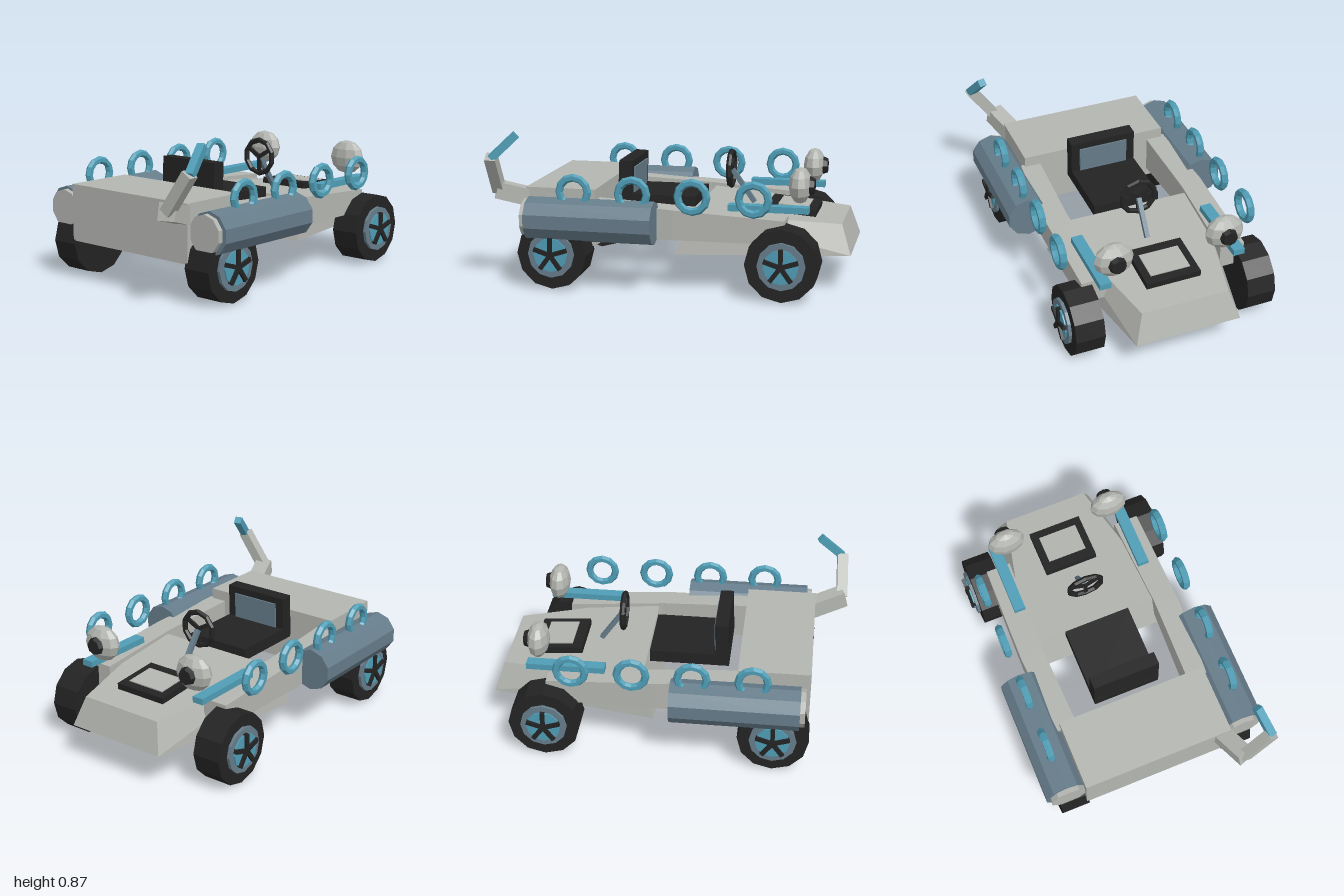
import * as THREE from 'three';
import { ConvexGeometry } from 'three/addons/geometries/ConvexGeometry.js';

const paint = (name, color) => {
  const m = new THREE.MeshStandardMaterial({ color, flatShading: true });
  m.name = name;
  return m;
};

export function createModel() {
  const grey = paint('body grey', 0xb3b5b0);
  const blue = paint('bright blue', 0x4f9db5);
  const slate = paint('slate blue', 0x667c8a);
  const black = paint('soft black', 0x232323);
  const car = new THREE.Group();
  car.name = 'buggy';

  const add = (name, geo, mat, x = 0, y = 0, z = 0, parent = car) => {
    const m = new THREE.Mesh(geo, mat);
    m.name = name;
    m.position.set(x, y, z);
    parent.add(m);
    return m;
  };
  const box = (w, h, d) => new THREE.BoxGeometry(w, h, d);
  const hull = (name, pts, mat) =>
    add(name, new ConvexGeometry(pts.map(p => new THREE.Vector3(...p))), mat);
  // square bar between two points
  const bar = (name, a, b, w, mat) => {
    const A = new THREE.Vector3(...a), B = new THREE.Vector3(...b);
    const m = add(name, box(w, w, A.distanceTo(B)), mat);
    m.position.copy(A).add(B).multiplyScalar(0.5);
    m.lookAt(B);
    return m;
  };

  // rear block and tapered nose
  add('rearBody', box(0.87, 0.32, 0.4), grey, 0, 0.38, 0.6);
  const nose = [];
  for (const s of [-1, 1]) {
    nose.push([s * 0.3, 0.205, -1], [s * 0.25, 0.37, -0.945],
      [s * 0.47, 0.205, -0.06], [s * 0.435, 0.435, -0.13]);
  }
  hull('nose', nose, grey);

  // hood hatch, following the hood slope
  const hatch = new THREE.Group();
  hatch.name = 'hoodHatch';
  hatch.position.set(0, 0.405, -0.65);
  hatch.rotation.x = -0.08;
  car.add(hatch);
  add('hatchFrame', box(0.315, 0.05, 0.28), black, 0, 0, 0, hatch);
  add('hatchPanel', box(0.23, 0.008, 0.17), grey, 0, 0.027, -0.005, hatch);

  // seat
  add('seatBase', box(0.39, 0.07, 0.45), black, 0, 0.44, 0.11);
  const back = new THREE.Group();
  back.name = 'seatBack';
  back.position.set(0, 0.55, 0.293);
  back.rotation.x = -0.04;
  car.add(back);
  add('backrest', box(0.39, 0.23, 0.075), black, 0, 0, 0, back);
  add('backrestPanel', box(0.29, 0.15, 0.009), slate, 0, 0, -0.042, back);

  // steering wheel with three spokes and a sloping column
  const steering = new THREE.Group();
  steering.name = 'steeringWheel';
  steering.position.set(0, 0.61, -0.285);
  car.add(steering);
  const rim = new THREE.TorusGeometry(0.099, 0.016, 6, 10);
  rim.rotateZ(Math.PI / 10);
  add('steeringRim', rim, black, 0, 0, 0, steering);
  for (let i = 0; i < 3; i++) {
    const a = -Math.PI / 2 + i * Math.PI * 2 / 3;
    const spoke = add('steeringSpoke', box(0.095, 0.022, 0.014), black,
      Math.cos(a) * 0.047, Math.sin(a) * 0.047, 0, steering);
    spoke.rotation.z = a;
  }
  bar('steeringColumn', [0, 0.605, -0.29], [0, 0.42, -0.42], 0.026, slate);

  const wheel = (name, s, z, r) => {
    const g = new THREE.Group();
    g.name = name;
    g.position.set(s * 0.5025, 0.2, z);
    g.rotation.z = -s * Math.PI / 2;
    car.add(g);
    const disc = (n, rad, y0, y1, mat) =>
      add(n, new THREE.CylinderGeometry(rad, rad, y1 - y0, 12), mat, 0, (y0 + y1) / 2, 0, g);
    disc('tyre', r, -0.0825, 0.0825, black);
    disc('hub', 0.13, 0.07, 0.1, slate);
    disc('hubDisc', 0.095, 0.09, 0.108, blue);
    for (let i = 0; i < 5; i++) {
      const a = i * Math.PI * 2 / 5;
      const spoke = add('wheelSpoke', box(0.1, 0.024, 0.024), black,
        -s * Math.cos(a) * 0.047, 0.11, Math.sin(a) * 0.047, g);
      spoke.rotation.y = s * a;
    }
  };

  for (const s of [-1, 1]) {
    wheel('frontWheel', s, -0.66, 0.2);
    wheel('rearWheel', s, 0.61, 0.197);

    // side rail from nose to rear block
    const mid = [[s * 0.355, 0.29, -0.1], [s * 0.355, 0.455, -0.1],
      [s * 0.49, 0.29, -0.05], [s * 0.49, 0.455, -0.05]];
    hull('frontRail', [...mid, [s * 0.335, 0.29, -0.66], [s * 0.335, 0.42, -0.66],
      [s * 0.48, 0.29, -0.66], [s * 0.48, 0.42, -0.66]], grey);
    hull('rearRail', [...mid, [s * 0.34, 0.27, 0.42], [s * 0.34, 0.48, 0.42],
      [s * 0.455, 0.27, 0.42], [s * 0.455, 0.48, 0.42]], grey);

    // ten-sided side tank with rear cap
    const tank = new THREE.CylinderGeometry(0.12, 0.12, 0.71, 10);
    tank.rotateX(Math.PI / 2);
    add('sideTank', tank, slate, s * 0.54, 0.39, 0.395);
    const cap = new THREE.CylinderGeometry(0.105, 0.105, 0.03, 10);
    cap.rotateX(Math.PI / 2);
    add('tankCap', cap, grey, s * 0.53, 0.39, 0.763);

    // row of rings
    for (const z of [0.49, 0.16, -0.17, -0.503]) {
      const ring = new THREE.TorusGeometry(0.08, 0.022, 6, 12);
      ring.rotateY(Math.PI / 2);
      add('sideRing', ring, blue, s * 0.55, 0.545, z);
    }

    // plank and headlamp above the hood
    add('plank', box(0.065, 0.035, 0.44), blue, s * 0.388, 0.468, -0.56);
    const lamp = new THREE.SphereGeometry(1, 10, 6);
    lamp.scale(0.113, 0.1, 0.063);
    add('headlamp', lamp, grey, s * 0.32, 0.59, -0.722);
    const lens = new THREE.CylinderGeometry(0.042, 0.055, 0.035, 8);
    lens.rotateX(-Math.PI / 2);
    add('headlampLens', lens, black, s * 0.32, 0.59, -0.783);
  }

  // bent exhaust at the rear left corner
  bar('exhaustBase', [0.37, 0.46, 0.74], [0.45, 0.525, 0.965], 0.095, grey);
  bar('exhaustPipe', [0.445, 0.52, 0.955], [0.59, 0.73, 0.945], 0.062, grey);
  bar('exhaustTip', [0.59, 0.72, 0.945], [0.55, 0.852, 0.81], 0.044, blue);

  return car;
}
